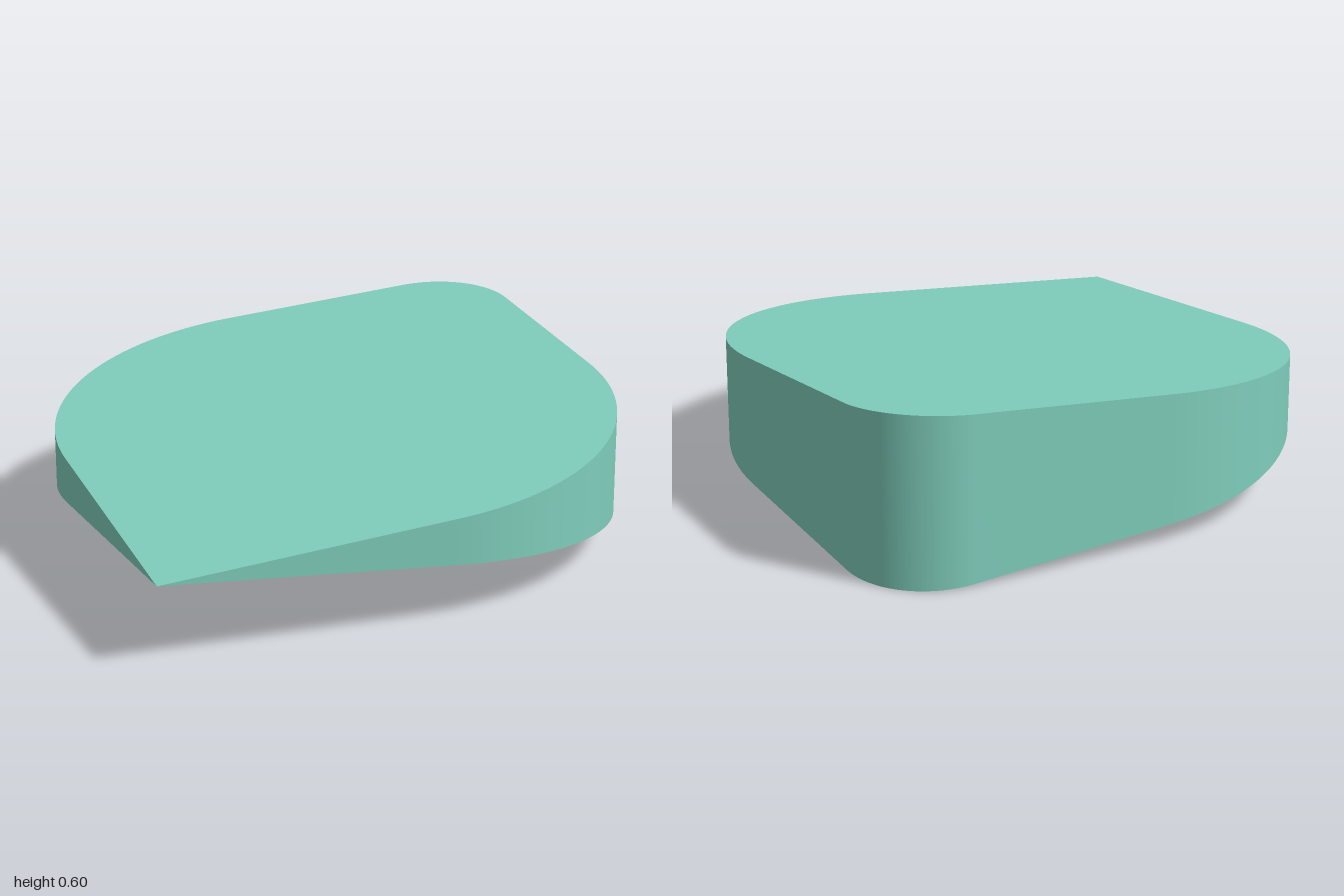
import * as THREE from 'three';
import { toCreasedNormals } from 'three/addons/utils/BufferGeometryUtils.js';

export function createModel() {
  const group = new THREE.Group();
  group.name = 'roundedWedge';

  // Plan outline: sharp tip at front right, two large rounds, one small round
  const R = 0.95, r = 0.31;
  const outline = new THREE.Shape();
  outline.moveTo(-1, -1);
  outline.lineTo(1 - R, -1);
  outline.absarc(1 - R, R - 1, R, -Math.PI / 2, 0);
  outline.lineTo(1, 1 - r);
  outline.absarc(1 - r, 1 - r, r, 0, Math.PI / 2);
  outline.lineTo(R - 1, 1);
  outline.absarc(R - 1, 1 - R, R, Math.PI / 2, Math.PI);
  outline.closePath();

  const geometry = new THREE.ExtrudeGeometry(outline, { depth: 1, bevelEnabled: false, curveSegments: 40 });
  geometry.rotateX(-Math.PI / 2);

  // Taper the thickness linearly along the diagonal, down to zero at the tip
  const halfHeight = 0.3;
  const reach = 4 - r * (2 - Math.SQRT2);
  const pos = geometry.attributes.position;
  for (let i = 0; i < pos.count; i++) {
    const along = (pos.getX(i) + 1 + 1 - pos.getZ(i)) / reach;
    pos.setY(i, halfHeight + (pos.getY(i) - 0.5) * 2 * halfHeight * along);
  }

  const body = new THREE.Mesh(
    toCreasedNormals(geometry, Math.PI / 6),
    new THREE.MeshStandardMaterial({ color: 0x7fcdbb })
  );
  body.name = 'wedgeBody';
  group.add(body);
  return group;
}
